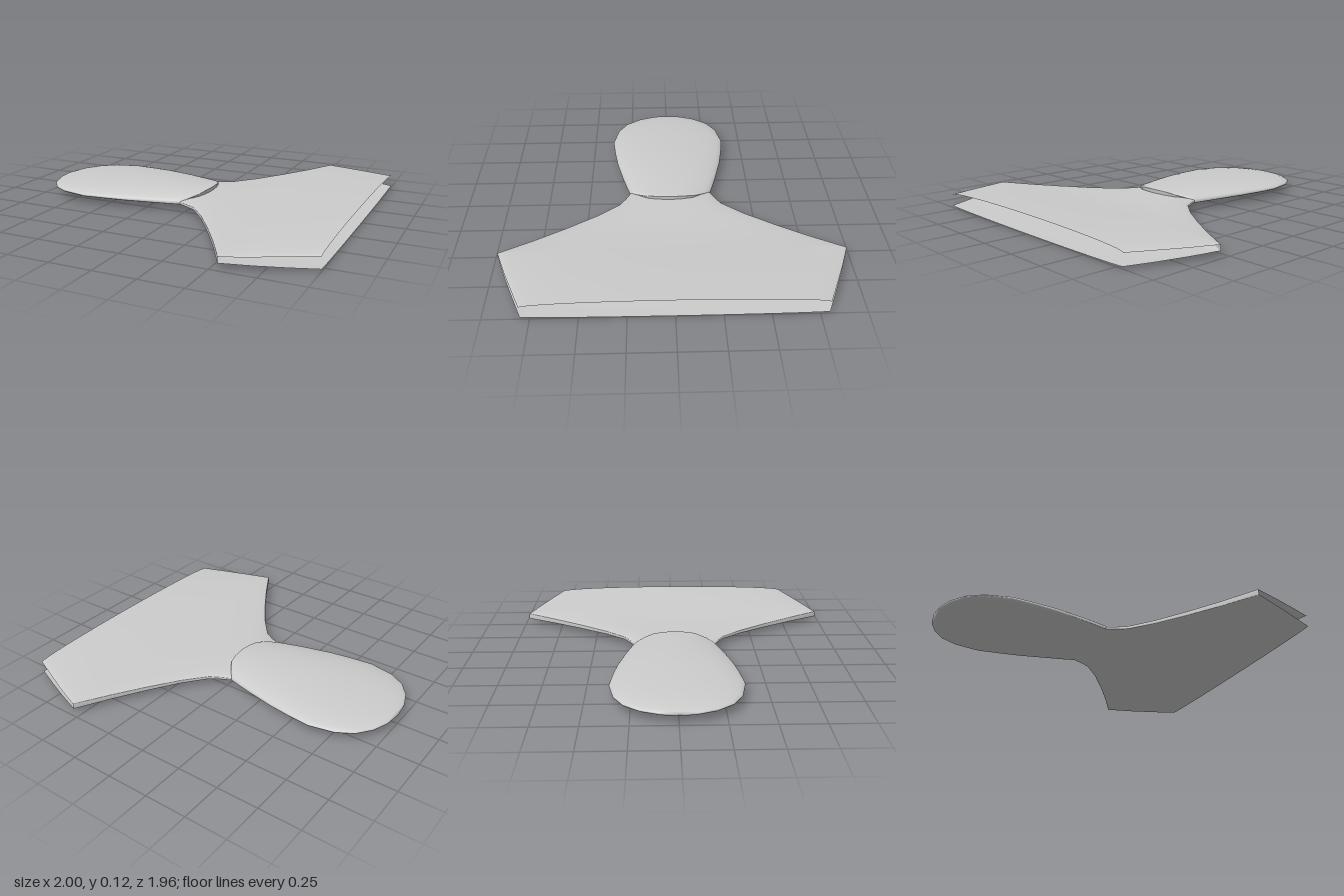
import * as THREE from 'three';
import { mergeVertices } from 'three/addons/utils/BufferGeometryUtils.js';

const shell = new THREE.MeshStandardMaterial({ color: 0xcccccc, side: THREE.DoubleSide });
shell.name = 'light grey';

// Skin a grid of points (rows of equal length) with smooth normals.
function skin(name, rows) {
  const n = rows[0].length, index = [];
  for (let i = 0; i < rows.length - 1; i++) {
    for (let j = 0; j < n - 1; j++) {
      const a = i * n + j, b = a + 1, c = a + n, d = c + 1;
      index.push(a, b, c, b, d, c);
    }
  }
  let geo = new THREE.BufferGeometry();
  geo.setAttribute('position', new THREE.Float32BufferAttribute(rows.flat(2), 3));
  geo.setIndex(index);
  geo = mergeVertices(geo, 1e-5);
  geo.computeVertexNormals();
  const mesh = new THREE.Mesh(geo, shell);
  mesh.name = name;
  return mesh;
}

// Flattened half-ellipses: station = [x, halfWidth, topY, topEdgeY, bottomEdgeY, bottomY]
const SEG = 28;
function topArc([x, w, top, edge]) {
  return Array.from({ length: SEG + 1 }, (_, i) => {
    const a = -Math.PI / 2 + Math.PI * i / SEG;
    return [x, edge + (top - edge) * Math.cos(a), w * Math.sin(a)];
  });
}
function bottomArc([x, w, , , edge, bottom]) {
  return topArc([x, -w, bottom, edge]);
}
function ring(s) {
  const top = topArc(s);
  return [...top, ...bottomArc(s), top[0]];
}

export function createModel() {
  const model = new THREE.Group();
  model.name = 'flatPaddle';

  // Rounded hollow body
  const body = [
    [-1, 0, 0.06, 0.06, 0.06, 0.06],
    [-0.985, 0.11, 0.072, 0.06, 0.058, 0.047],
    [-0.95, 0.20, 0.081, 0.06, 0.058, 0.039],
    [-0.885, 0.285, 0.09, 0.06, 0.058, 0.032],
    [-0.79, 0.34, 0.099, 0.06, 0.058, 0.026],
    [-0.64, 0.37, 0.107, 0.06, 0.057, 0.022],
    [-0.5, 0.355, 0.111, 0.06, 0.056, 0.022],
    [-0.37, 0.335, 0.115, 0.059, 0.054, 0.024],
    [-0.2, 0.295, 0.113, 0.058, 0.05, 0.029],
    [-0.1, 0.268, 0.11, 0.056, 0.047, 0.03],
    [-0.03, 0.247, 0.108, 0.055, 0.045, 0.03],
  ];
  model.add(skin('body', body.map(ring)));

  // Lid: the top of the body overlapping the tail
  const lid = [
    [-0.03, 0.247, 0.108, 0.055],
    [0.01, 0.2, 0.106, 0.074],
    [0.05, 0.14, 0.104, 0.09],
    [0.064, 0.08, 0.102, 0.097],
    [0.07, 0.02, 0.1, 0.1],
  ];
  model.add(skin('lid', lid.map(topArc)));

  // Lip closing the step between lid and tail
  const side = (s) => lid.map(([x, w, , y]) => [x, y, s * w]);
  const rim = [...side(-1), ...side(1).reverse()];
  model.add(skin('lidLip', [rim, rim.map(([x, y, z]) => [x - 0.004, Math.min(y, 0.068), z * 0.98])]));

  // Tail sleeve, closed along its swept sides
  const sleeve = [
    [-0.03, 0.247, 0.078, 0.055, 0.045, 0.03],
    [0.03, 0.275, 0.077, 0.056, 0.044, 0.029],
    [0.09, 0.31, 0.076, 0.057, 0.043, 0.028],
    [0.2, 0.44, 0.075, 0.058, 0.041, 0.025],
    [0.32, 0.615, 0.075, 0.059, 0.037, 0.02],
    [0.43, 0.79, 0.077, 0.06, 0.034, 0.014],
    [0.54, 0.98, 0.084, 0.062, 0.031, 0.008],
  ];
  model.add(skin('tailSleeve', sleeve.map(ring)));

  // Two separate flaps, open at the tips and trailing edge
  const flaps = [
    sleeve[sleeve.length - 1],
    [0.7, 0.922, 0.095, 0.067, 0.023, 0.002],
    [0.85, 0.862, 0.104, 0.073, 0.017, 0],
    [1, 0.8, 0.11, 0.079, 0.013, 0.002],
  ];
  model.add(skin('upperFlap', flaps.map(topArc)));
  model.add(skin('lowerFlap', flaps.map(bottomArc)));
  return model;
}
